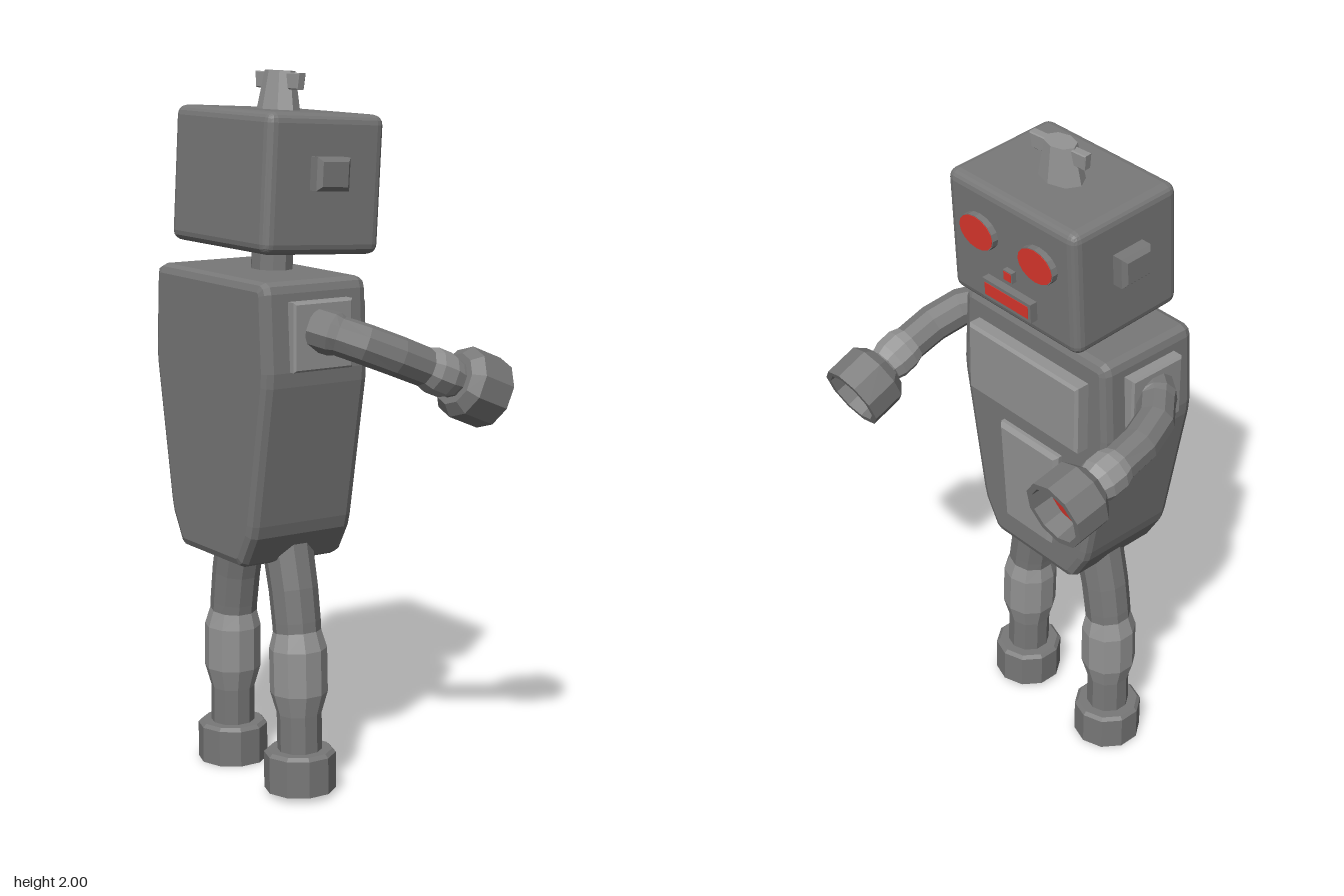
import * as THREE from 'three';
import { RoundedBoxGeometry } from 'three/addons/geometries/RoundedBoxGeometry.js';

const grey = new THREE.MeshStandardMaterial({ color: 0x787878, flatShading: true });
const lightGrey = new THREE.MeshStandardMaterial({ color: 0x939393, flatShading: true });
const red = new THREE.MeshStandardMaterial({ color: 0xe0382e, flatShading: true });
const SIDES = 10;

function add(parent, name, geometry, material = grey, x = 0, y = 0, z = 0) {
  const mesh = new THREE.Mesh(geometry, material);
  mesh.name = name;
  mesh.position.set(x, y, z);
  parent.add(mesh);
  return mesh;
}

// Bevelled plate: outline in x/y, thickness from z = 0 to depth
function slab(points, depth, bevel, segments = 1) {
  const shape = new THREE.Shape(points.map(([x, y]) => new THREE.Vector2(x, y)));
  return new THREE.ExtrudeGeometry(shape, {
    depth: depth - 2 * bevel, bevelSize: bevel, bevelThickness: bevel,
    bevelOffset: -bevel, bevelSegments: segments,
  }).translate(0, 0, bevel);
}

// Outline symmetric about x = 0, from its right half listed bottom to top
const symmetric = (half) => [...half, ...half.slice().reverse().map(([x, y]) => [-x, y])];
const rect = (w, h) => symmetric([[w / 2, -h / 2], [w / 2, h / 2]]);

// Faceted tube through sections [along, sideways, radius] in the x/y plane
function sweep(sections) {
  const pos = [], index = [];
  sections.forEach(([u, v, r], i) => {
    const a = sections[Math.max(i - 1, 0)], b = sections[Math.min(i + 1, sections.length - 1)];
    const t = new THREE.Vector2(b[0] - a[0], b[1] - a[1]).normalize();
    for (let j = 0; j < SIDES; j++) {
      const angle = (j + 0.5) / SIDES * Math.PI * 2, n = r * Math.cos(angle);
      pos.push(u - t.y * n, v + t.x * n, r * Math.sin(angle));
      if (i) {
        const k = (j + 1) % SIDES, p = (i - 1) * SIDES, q = i * SIDES;
        index.push(p + j, p + k, q + k, p + j, q + k, q + j);
      }
    }
  });
  const geometry = new THREE.BufferGeometry();
  geometry.setAttribute('position', new THREE.Float32BufferAttribute(pos, 3));
  geometry.setIndex(index);
  geometry.computeVertexNormals();
  return geometry;
}

// Limb lying along local x, bending towards side * z, with a joint ring and a hollow cup at its end
function limb(parent, name, { tube, joint, cup }, side, origin, tilt, splay = 0) {
  const group = new THREE.Group();
  group.name = name;
  group.position.set(...origin);
  group.rotation.z = -tilt;
  const plane = new THREE.Group();
  plane.rotation.set(Math.PI / 2, 0, side * splay);
  group.add(plane);
  const sided = (sections) => sections.map(([u, v, r]) => [u, v * side, r]);
  add(plane, name + 'Tube', sweep(sided(tube)));
  add(plane, name + 'Joint', sweep(sided(joint)), lightGrey);

  const { start, length, chamfer, depth, label } = cup;
  const holder = new THREE.Group();
  holder.name = label;
  holder.position.set(start, tube.at(-1)[1] * side, 0);
  holder.rotation.z = -Math.PI / 2;
  const profile = [[0, 0], [0.101 - chamfer, 0], [0.101, chamfer], [0.101, length],
    [0.083, length], [0.078, length - depth]].map(([r, y]) => new THREE.Vector2(r, y));
  add(holder, label + 'Cup', new THREE.LatheGeometry(profile, SIDES));
  const disc = new THREE.CircleGeometry(0.08, SIDES).rotateX(-Math.PI / 2);
  add(holder, label + 'Inset', disc, red, 0, length - depth, 0);
  plane.add(holder);
  parent.add(group);
}

function buildHead() {
  const head = new THREE.Group();
  head.name = 'head';
  head.position.set(-0.112, 1.706, -0.005);
  head.rotation.z = -0.055;
  add(head, 'headBox', new RoundedBoxGeometry(0.373, 0.376, 0.495, 2, 0.028));

  for (const s of [1, -1]) {
    const side = s > 0 ? 'right' : 'left';
    // Eyes: oval rim with a red face
    const eye = (r, h) => new THREE.CylinderGeometry(r, r, h, 16)
      .rotateZ(-Math.PI / 2).scale(1, 0.75, 1);
    add(head, side + 'EyeRim', eye(0.068, 0.04), grey, 0.185, 0.052, s * 0.115);
    add(head, side + 'Eye', eye(0.065, 0.04), red, 0.1865, 0.052, s * 0.115);
    // Ears
    const ear = add(head, side + 'Ear', slab(rect(0.105, 0.09), 0.055, 0.012), grey, 0, 0.03, s * 0.236);
    if (s < 0) ear.rotation.y = Math.PI;
  }

  // Nose and mouth: grey blocks with red faces
  add(head, 'noseBlock', new THREE.BoxGeometry(0.03, 0.032, 0.034), grey, 0.187, -0.036, 0);
  add(head, 'nose', new THREE.BoxGeometry(0.03, 0.026, 0.028), red, 0.1885, -0.036, 0);
  add(head, 'mouthFrame', new THREE.BoxGeometry(0.04, 0.058, 0.19), grey, 0.19, -0.107, 0);
  add(head, 'mouth', new THREE.BoxGeometry(0.04, 0.038, 0.17), red, 0.1915, -0.107, 0);

  // Stud with a flat wing either side on the crown
  add(head, 'crownStud', new THREE.CylinderGeometry(0.052, 0.076, 0.114, 8).scale(0.7, 1, 1), lightGrey, 0.002, 0.2365, -0.007);
  const wing = slab(symmetric([[0.094, -0.025], [0.1, 0.02]]), 0.026, 0.003)
    .translate(0, 0, -0.013).rotateY(Math.PI / 2 + 0.07);
  add(head, 'crownWing', wing, lightGrey, 0.002, 0.269, -0.005);
  return head;
}

function buildTorso() {
  const torso = new THREE.Group();
  torso.name = 'torso';
  const outline = symmetric([[0.145, 0.665], [0.165, 0.675], [0.212, 0.755], [0.222, 0.79],
    [0.294, 1.18], [0.297, 1.22], [0.285, 1.43], [0.278, 1.45], [0.258, 1.46]]);
  const facing = (geometry) => geometry.rotateY(Math.PI / 2);
  add(torso, 'body', facing(slab(outline, 0.332, 0.025, 2)), grey, -0.336, 0, -0.004);
  add(torso, 'chestPanel', facing(slab(rect(0.44, 0.215), 0.06, 0.008)), lightGrey, -0.02, 1.278, -0.005);
  const belly = symmetric([[0.095, 0.77], [0.12, 1.09]]);
  add(torso, 'bellyPanel', facing(slab(belly, 0.05, 0.012)), lightGrey, -0.03, 0, -0.005);
  add(torso, 'neck', new THREE.CylinderGeometry(0.07, 0.07, 0.14, 10).scale(0.78, 1, 1), grey, -0.126, 1.49, -0.005)
    .rotation.z = -0.05;
  for (const s of [1, -1]) {
    const plate = add(torso, s > 0 ? 'rightShoulderPlate' : 'leftShoulderPlate',
      slab(rect(0.187, 0.187), 0.06, 0.006), lightGrey, -0.167, 1.315, s * 0.26 - 0.005);
    if (s < 0) plate.rotation.y = Math.PI;
  }
  return torso;
}

export function createModel() {
  const robot = new THREE.Group();
  robot.name = 'robot';
  robot.add(buildHead(), buildTorso());

  const arm = {
    tube: [[-0.02, 0.29, 0.06], [0.012, 0.338, 0.06], [0.022, 0.349, 0.054], [0.075, 0.397, 0.055],
      [0.165, 0.427, 0.055], [0.265, 0.436, 0.054], [0.385, 0.438, 0.054]],
    joint: [[0.25, 0.434, 0.053], [0.28, 0.437, 0.063], [0.325, 0.438, 0.063], [0.355, 0.438, 0.053]],
    cup: { label: 'hand', start: 0.36, length: 0.13, chamfer: 0.028, depth: 0.06 },
  };
  const leg = {
    tube: [[-0.05, 0.1, 0.072], [0.01, 0.115, 0.072], [0.08, 0.133, 0.07], [0.15, 0.15, 0.069],
      [0.24, 0.164, 0.068], [0.3, 0.17, 0.067], [0.48, 0.173, 0.063], [0.62, 0.175, 0.063]],
    joint: [[0.265, 0.167, 0.067], [0.315, 0.171, 0.081], [0.44, 0.173, 0.081], [0.505, 0.173, 0.062]],
    cup: { label: 'foot', start: 0.606, length: 0.114, chamfer: 0.01, depth: 0.04 },
  };

  // The two arms are raised to different heights
  limb(robot, 'rightArm', arm, 1, [-0.16, 1.325, 0], 0.4);
  limb(robot, 'leftArm', arm, -1, [-0.16, 1.33, 0], 0.2);
  limb(robot, 'rightLeg', leg, 1, [-0.16, 0.732, 0], Math.PI / 2, 0.015);
  limb(robot, 'leftLeg', leg, -1, [-0.16, 0.72, 0], Math.PI / 2);
  return robot;
}
